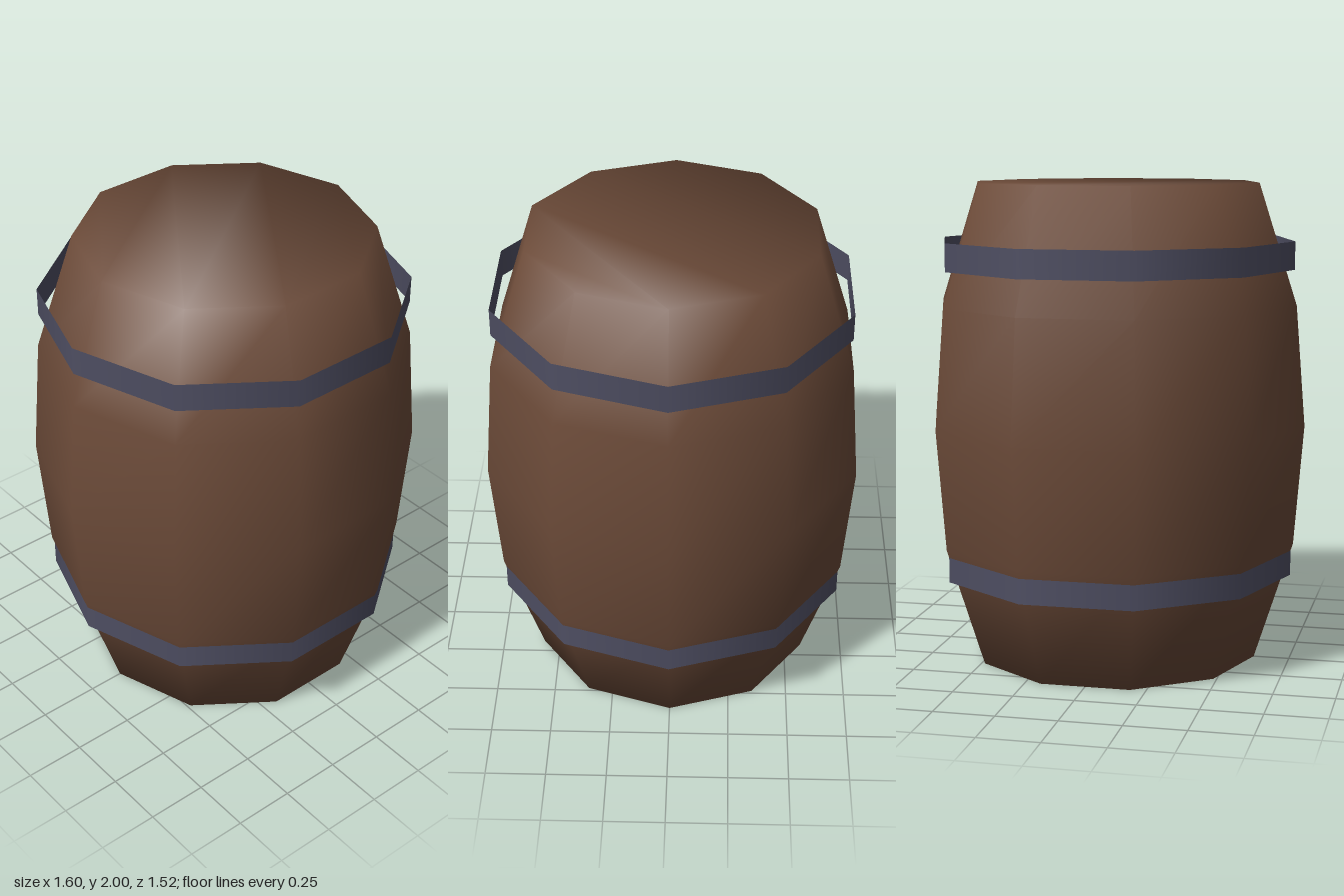
import * as THREE from 'three';

const SIDES = 10;
const wood = new THREE.MeshStandardMaterial({ name: 'brown wood', color: 0x6b4a38 });
const iron = new THREE.MeshStandardMaterial({ name: 'blue grey iron', color: 0x4e4e62, side: THREE.DoubleSide });

// Ten-sided cask, smooth all over, its ends closed by flat polygons
function caskGeometry() {
  // radius, height, upward tilt of the normal
  const rings = [[0.6, 0, -1.1], [0.76, 0.5, -0.2], [0.8, 1, 0], [0.76, 1.5, 0.2], [0.6, 2, 1.1]];
  const positions = [], normals = [], index = [];
  for (const [r, y, tilt] of rings) {
    for (let i = 0; i < SIDES; i++) {
      const a = (i / SIDES) * Math.PI * 2;
      const n = new THREE.Vector3(Math.cos(a), tilt, Math.sin(a)).normalize();
      positions.push(r * Math.cos(a), y, r * Math.sin(a));
      normals.push(n.x, n.y, n.z);
    }
  }
  // Staves
  for (let j = 0; j < rings.length - 1; j++) {
    for (let i = 0; i < SIDES; i++) {
      const a = j * SIDES + i, b = j * SIDES + (i + 1) % SIDES;
      const c = a + SIDES, d = b + SIDES;
      index.push(a, c, b, b, c, d);
    }
  }
  // Ends, as strips of parallel chords
  const top = (rings.length - 1) * SIDES;
  for (let k = 0; k < SIDES / 2 - 1; k++) {
    const a = (1 - k + SIDES) % SIDES, b = 2 + k;
    const c = (a + SIDES - 1) % SIDES, d = b + 1;
    index.push(a, b, c, b, d, c);
    index.push(top + a, top + c, top + b, top + b, top + c, top + d);
  }
  const g = new THREE.BufferGeometry();
  g.setAttribute('position', new THREE.Float32BufferAttribute(positions, 3));
  g.setAttribute('normal', new THREE.Float32BufferAttribute(normals, 3));
  g.setIndex(index);
  return g;
}

// Thin open hoop between two heights
function hoop(name, y0, y1) {
  const g = new THREE.CylinderGeometry(0.75, 0.75, y1 - y0, SIDES, 1, true, Math.PI / 2);
  const m = new THREE.Mesh(g, iron);
  m.name = name;
  m.position.y = (y0 + y1) / 2;
  return m;
}

export function createModel() {
  const group = new THREE.Group();
  group.name = 'barrel';
  const cask = new THREE.Mesh(caskGeometry(), wood);
  cask.name = 'cask';
  group.add(cask, hoop('lowerHoop', 0.365, 0.472), hoop('upperHoop', 1.647, 1.763));
  return group;
}
